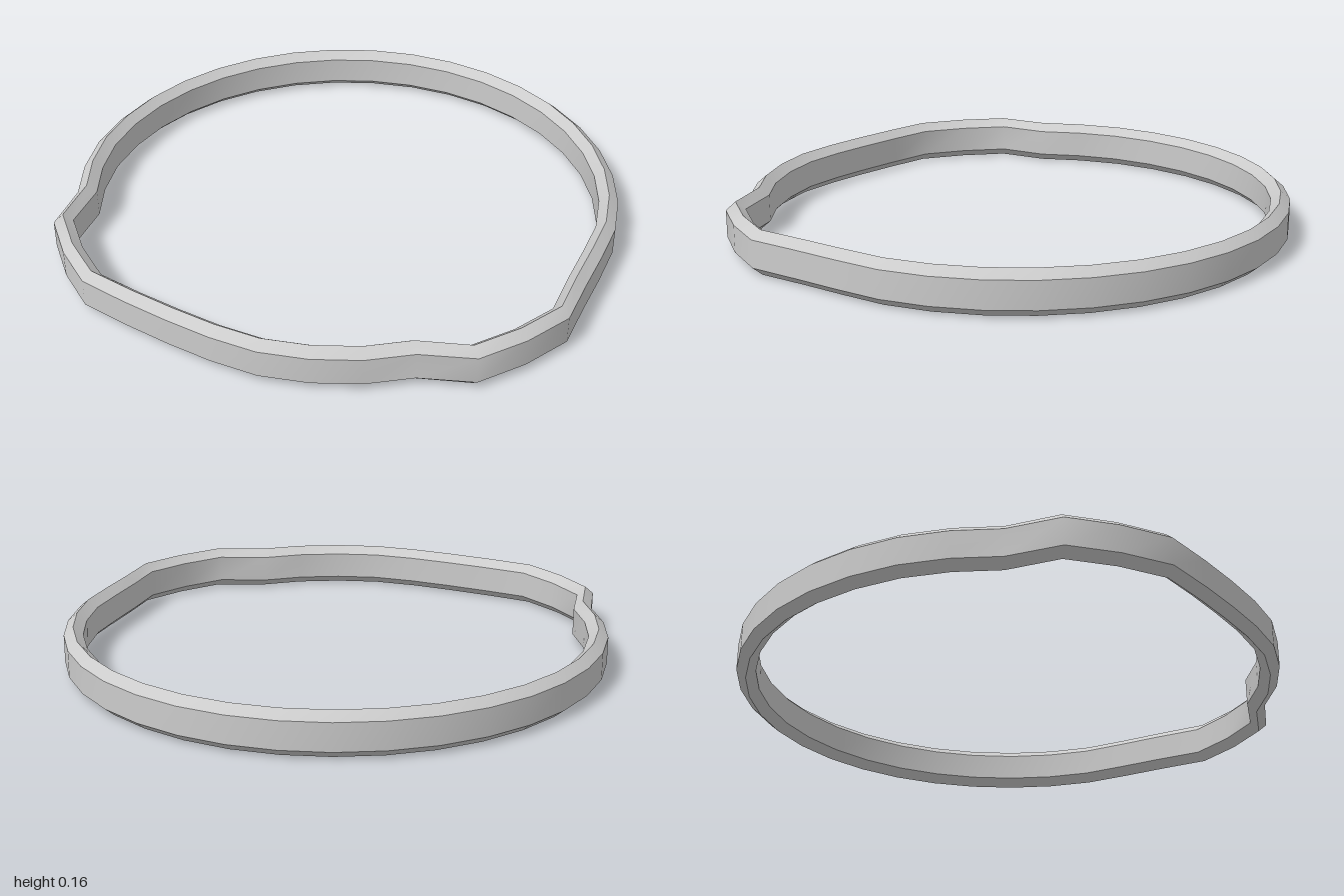
import * as THREE from 'three';

// Outer radius every 10 degrees from +x towards +z; the back half is round
const FRONT_RADII = [1, 0.995, 1.015, 1.073, 1.072, 1.072, 0.99, 0.995, 0.995, 0.995,
  0.986, 0.99, 1.017, 1.07, 1.072, 1.075, 0.99, 0.995, 1];
const SEGMENTS = 36;

// Six-sided band section: [inward offset, height]
const SECTION = [[0, 0.03], [0, 0.13], [0.035, 0.16], [0.07, 0.13], [0.07, 0.03], [0.035, 0]];

function bandGeometry() {
  const positions = [], index = [];
  SECTION.forEach((start, s) => {
    // Each side has its own vertices: sharp along the band, smooth around it
    const base = positions.length / 3;
    const end = SECTION[(s + 1) % SECTION.length];
    for (let i = 0; i < SEGMENTS; i++) {
      const angle = (i / SEGMENTS) * Math.PI * 2;
      const radius = FRONT_RADII[i] ?? 1;
      for (const [inset, y] of [start, end]) {
        const r = radius - inset;
        positions.push(r * Math.cos(angle), y, r * Math.sin(angle));
      }
      const a = base + i * 2, c = base + ((i + 1) % SEGMENTS) * 2;
      index.push(a, a + 1, c, a + 1, c + 1, c);
    }
  });
  const geometry = new THREE.BufferGeometry();
  geometry.setAttribute('position', new THREE.Float32BufferAttribute(positions, 3));
  geometry.setIndex(index);
  geometry.computeVertexNormals();
  return geometry;
}

export function createModel() {
  const group = new THREE.Group();
  group.name = 'bentRing';
  const band = new THREE.Mesh(bandGeometry(), new THREE.MeshStandardMaterial({ color: 0xcccccc }));
  band.name = 'band';
  group.add(band);
  return group;
}
